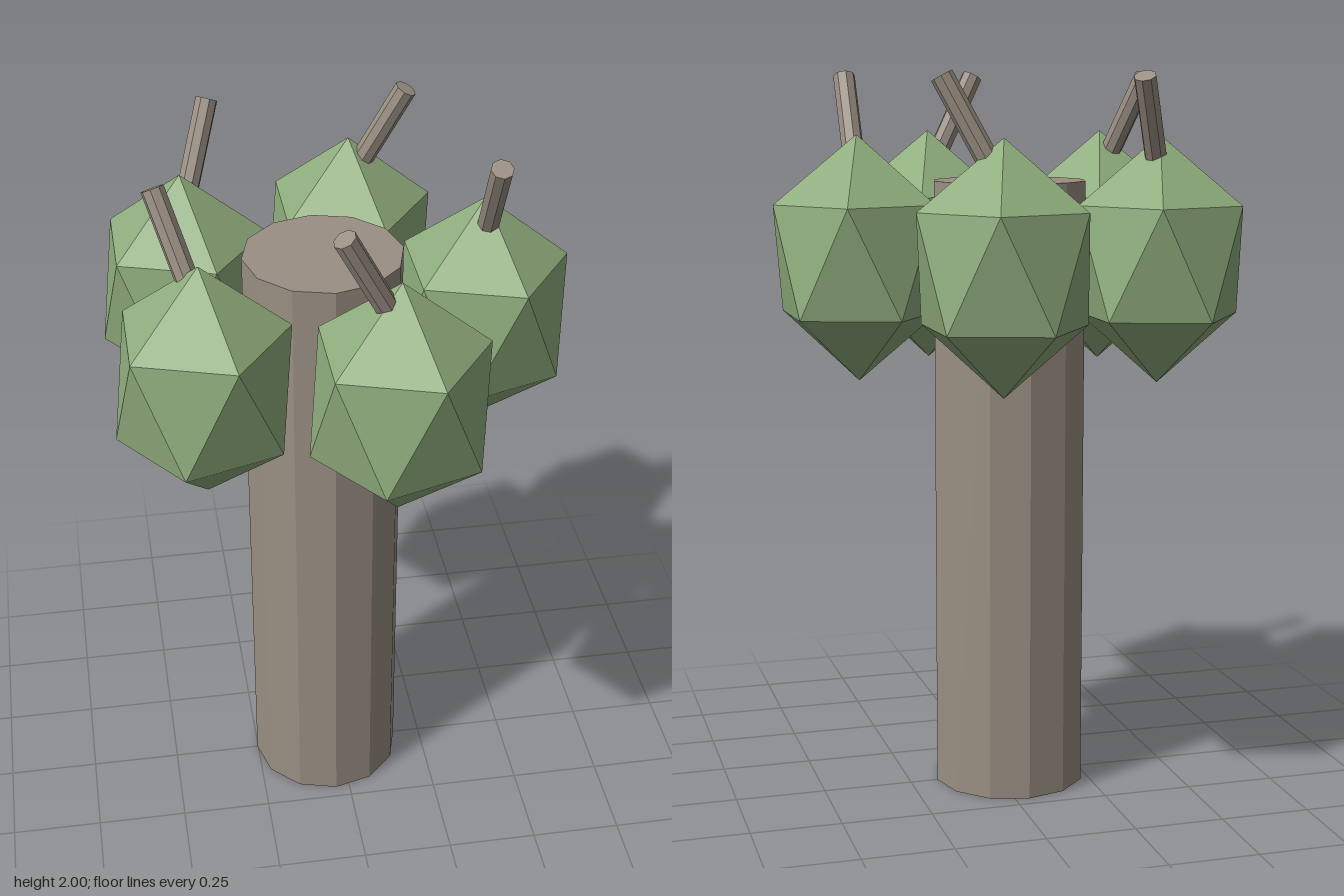
import * as THREE from 'three';

const TRUNK_X = -0.04; // trunk axis, also the centre of the ring of crowns
const RING = 0.425;
const COUNT = 5;

const bark = new THREE.MeshStandardMaterial({ color: 0x9a8f83, flatShading: true });
const leaf = new THREE.MeshStandardMaterial({ color: 0x8fad7d, flatShading: true });

// Icosahedron standing on a corner, one upper-ring corner towards +x, stretched upwards
function crownGeometry() {
  const geo = new THREE.IcosahedronGeometry(0.255, 0);
  geo.rotateX(-Math.atan((1 + Math.sqrt(5)) / 2));
  geo.rotateY(Math.PI / 2);
  geo.scale(1, 1.3, 1);
  return geo;
}

// Thin twig with its base at the origin
function twigGeometry() {
  return new THREE.CylinderGeometry(0.03, 0.03, 0.325, 8).translate(0, 0.1625, 0);
}

export function createModel() {
  const model = new THREE.Group();
  model.name = 'tree';

  const trunk = new THREE.Mesh(new THREE.CylinderGeometry(0.2125, 0.2125, 1.705, 12), bark);
  trunk.name = 'trunk';
  trunk.position.set(TRUNK_X, 1.705 / 2, 0);
  model.add(trunk);

  // Five crowns around the trunk, each with a twig leaning along the ring
  const crownGeo = crownGeometry();
  const twigGeo = twigGeometry();
  for (let i = 0; i < COUNT; i++) {
    const angle = (i / COUNT) * Math.PI * 2;
    const x = TRUNK_X + Math.cos(angle) * RING;
    const z = Math.sin(angle) * RING;

    const crown = new THREE.Mesh(crownGeo, leaf);
    crown.name = `crown${i + 1}`;
    crown.position.set(x, 1.5, z);
    model.add(crown);

    const twig = new THREE.Mesh(twigGeo, bark);
    twig.name = `twig${i + 1}`;
    twig.position.set(x, 1.7, z);
    twig.rotation.set(0.5, -angle, 0, 'YXZ');
    model.add(twig);
  }
  return model;
}
